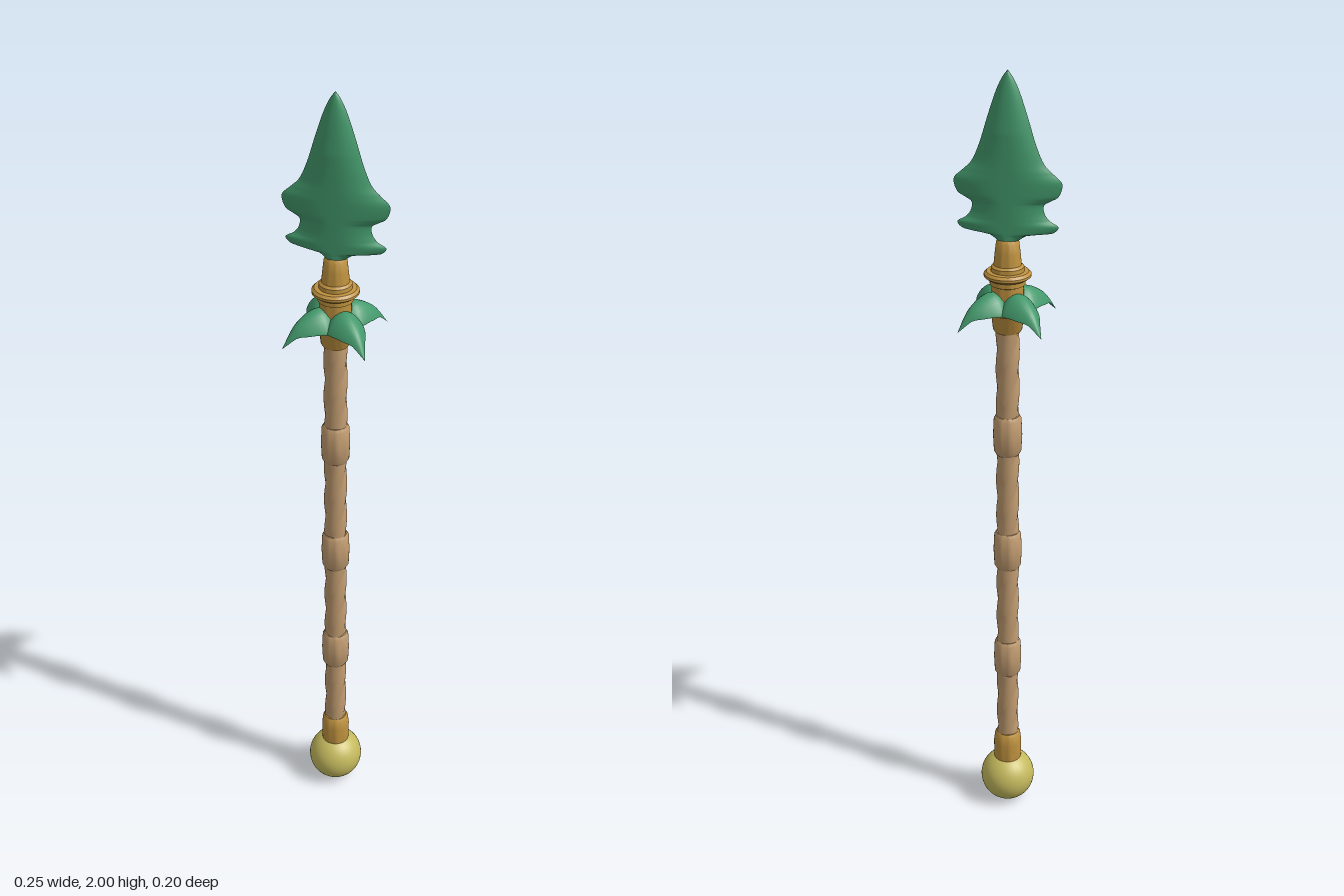
import * as THREE from 'three';
import { toCreasedNormals } from 'three/addons/utils/BufferGeometryUtils.js';
import { ParametricGeometry } from 'three/addons/geometries/ParametricGeometry.js';

const mat = (name, color) => {
  const m = new THREE.MeshStandardMaterial({ color });
  m.name = name;
  return m;
};
const curve = (pts) =>
  new THREE.CatmullRomCurve3(pts.map(([x, y]) => new THREE.Vector3(x, y, 0)), false, 'centripetal');

export function createModel() {
  const spear = new THREE.Group();
  spear.name = 'spear';
  const leafGreen = mat('leaf green', 0x43996c);
  const gold = mat('gold', 0xbf923f);
  const brass = mat('pale brass', 0xc4b95e);
  const wood = mat('wood', 0xc09b70);

  const add = (name, geometry, material, parent = spear) => {
    const mesh = new THREE.Mesh(geometry, material);
    mesh.name = name;
    parent.add(mesh);
    return mesh;
  };
  // turned part; profile of [radius, y] from bottom to top
  const turned = (name, profile, material) =>
    add(name, toCreasedNormals(
      new THREE.LatheGeometry(profile.map(([r, y]) => new THREE.Vector2(r, y)), 32), 0.6), material);

  // pommel ball
  add('pommel', new THREE.SphereGeometry(0.072, 32, 24), brass).position.y = 0.072;
  turned('pommelCollar', [[0, 0.13], [0.036, 0.13], [0.037, 0.185], [0.034, 0.21], [0.029, 0.218], [0, 0.218]], gold);

  // twisted three-strand shaft
  const twist = (2 * Math.PI) / 0.3;
  add('shaft', new ParametricGeometry((u, v, p) => {
    const a = u * Math.PI * 2, y = 0.2 + v * 1.22;
    const r = 0.0245 + 0.0045 * Math.abs(Math.cos(1.5 * (a - twist * y)));
    p.set(r * Math.sin(a), y, r * Math.cos(a));
  }, 36, 160), wood);

  // grip bands
  for (const y of [0.46, 0.785, 1.11]) {
    turned('gripBand', [[0, y - 0.052], [0.029, y - 0.052], [0.034, y - 0.043], [0.036, y],
      [0.034, y + 0.043], [0.029, y + 0.052], [0, y + 0.052]], wood);
  }

  // head collar, ring and blade socket
  turned('leafCollar', [[0, 1.383], [0.031, 1.383], [0.035, 1.39], [0.039, 1.425], [0.043, 1.43],
    [0.043, 1.45], [0.038, 1.455], [0.038, 1.5], [0.042, 1.502], [0.042, 1.516], [0, 1.516]], gold);
  turned('guardRing', [[0.03, 1.514], [0.048, 1.516], [0.056, 1.522], [0.056, 1.528], [0.05, 1.534], [0.03, 1.536]], gold);
  turned('bladeSocket', [[0.04, 1.53], [0.039, 1.545], [0.033, 1.55], [0.03, 1.58], [0.027, 1.605],
    [0.018, 1.618], [0, 1.626]], gold);

  // four drooping leaves, placed on the diagonals
  const spine = curve([[0.015, 1.482], [0.05, 1.488], [0.1, 1.462], [0.141, 1.408]]);
  const width = curve([[0, 0.03], [0.28, 0.047], [0.6, 0.037], [0.86, 0.016], [1, 0]]);
  const leafGeometry = new ParametricGeometry((u, v, p) => {
    const a = u * Math.PI * 2, c = spine.getPoint(v), w = Math.max(0, width.getPoint(v).y);
    const s = Math.cos(a);
    p.set(w * s, c.y - 0.8 * w * s * s + 0.18 * w * (Math.sin(a) - 1), c.x);
  }, 28, 24);
  for (let i = 0; i < 4; i++) {
    add('leaf', leafGeometry, leafGreen).rotation.y = Math.PI / 4 + (i * Math.PI) / 2;
  }

  // barbed blade: one swollen sheet per face, meeting at the edge
  const outline = curve([[0.004, 1.585], [0.02, 1.603], [0.045, 1.621], [0.075, 1.626], [0.108, 1.632],
    [0.119, 1.646], [0.098, 1.66], [0.086, 1.677], [0.085, 1.696], [0.1, 1.706], [0.118, 1.718], [0.126, 1.748],
    [0.105, 1.77], [0.085, 1.79], [0.066, 1.832], [0.048, 1.89], [0.026, 1.955], [0.012, 1.984], [0, 2]]);
  const blade = new THREE.Group();
  blade.name = 'blade';
  spear.add(blade);
  for (const side of [1, -1]) {
    add(side > 0 ? 'bladeFront' : 'bladeBack', new ParametricGeometry((u, v, p) => {
      const edge = outline.getPoint(v), t = 2 * u - 1;
      const thick = 0.022 * Math.sqrt(Math.min(1, Math.max(0, 2 - edge.y) / 0.14));
      p.set(side * t * edge.x, edge.y, side * thick * (1 - Math.abs(t) ** 2.3));
    }, 24, 90), leafGreen, blade);
  }
  return spear;
}
